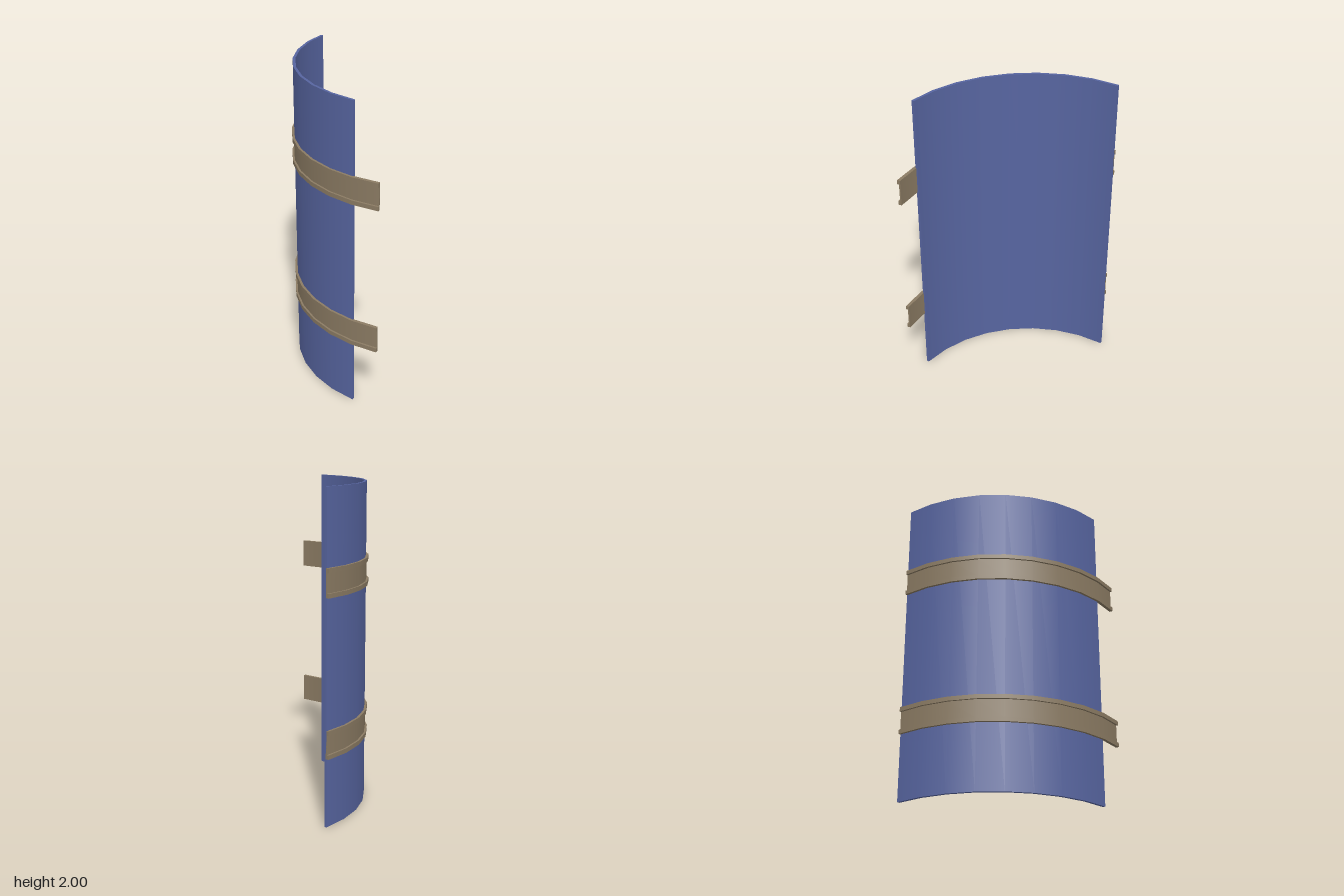
import * as THREE from 'three';
import { mergeGeometries } from 'three/addons/utils/BufferGeometryUtils.js';

const R = 0.885;              // outermost radius
const STEP = Math.PI / 16;    // angle of one facet
const START = -Math.PI / 2;

// Sweeps a closed counter-clockwise [radius, y] profile around the axis:
// smooth along the arc, sharp at the profile corners, capped at both ends.
function sweepArc(profile, segments) {
  const points = profile.map(([r, y]) => new THREE.Vector2(r, y));
  const parts = points.map((p, i) =>
    new THREE.LatheGeometry([p, points[(i + 1) % points.length]], segments, START, segments * STEP));

  const startCap = new THREE.ShapeGeometry(new THREE.Shape(points));
  const endCap = startCap.clone();
  endCap.index.array.reverse();
  endCap.attributes.normal.array.forEach((v, i, a) => { a[i] = -v; });
  startCap.rotateY(START - Math.PI / 2);
  endCap.rotateY(START + segments * STEP - Math.PI / 2);

  return mergeGeometries([...parts, startCap, endCap]).translate(0.4025 * R, 0, -R / 2);
}

export function createModel() {
  const group = new THREE.Group();
  const blue = new THREE.MeshStandardMaterial({ color: 0x5765a0 });
  blue.name = 'panelBlue';
  const brown = new THREE.MeshStandardMaterial({ color: 0x8b7b63 });
  brown.name = 'bandBrown';

  const add = (name, geometry, material) => {
    const mesh = new THREE.Mesh(geometry, material);
    mesh.name = name;
    group.add(mesh);
    return mesh;
  };

  // Quarter-round panel
  add('curvedPanel', sweepArc([[0.853, 0], [0.87, 0], [0.87, 2], [0.853, 2]], 8), blue);

  // Channel-section bands, running one facet past the panel
  const inner = 0.864, web = 0.873, half = 0.086, lip = 0.059;
  const channel = [
    [inner, -half], [R, -half], [R, -lip], [web, -lip],
    [web, lip], [R, lip], [R, half], [inner, half],
  ];
  const bandGeometry = sweepArc(channel, 9);
  add('lowerBand', bandGeometry, brown).position.y = 0.508;
  add('upperBand', bandGeometry, brown).position.y = 1.46;

  return group;
}
